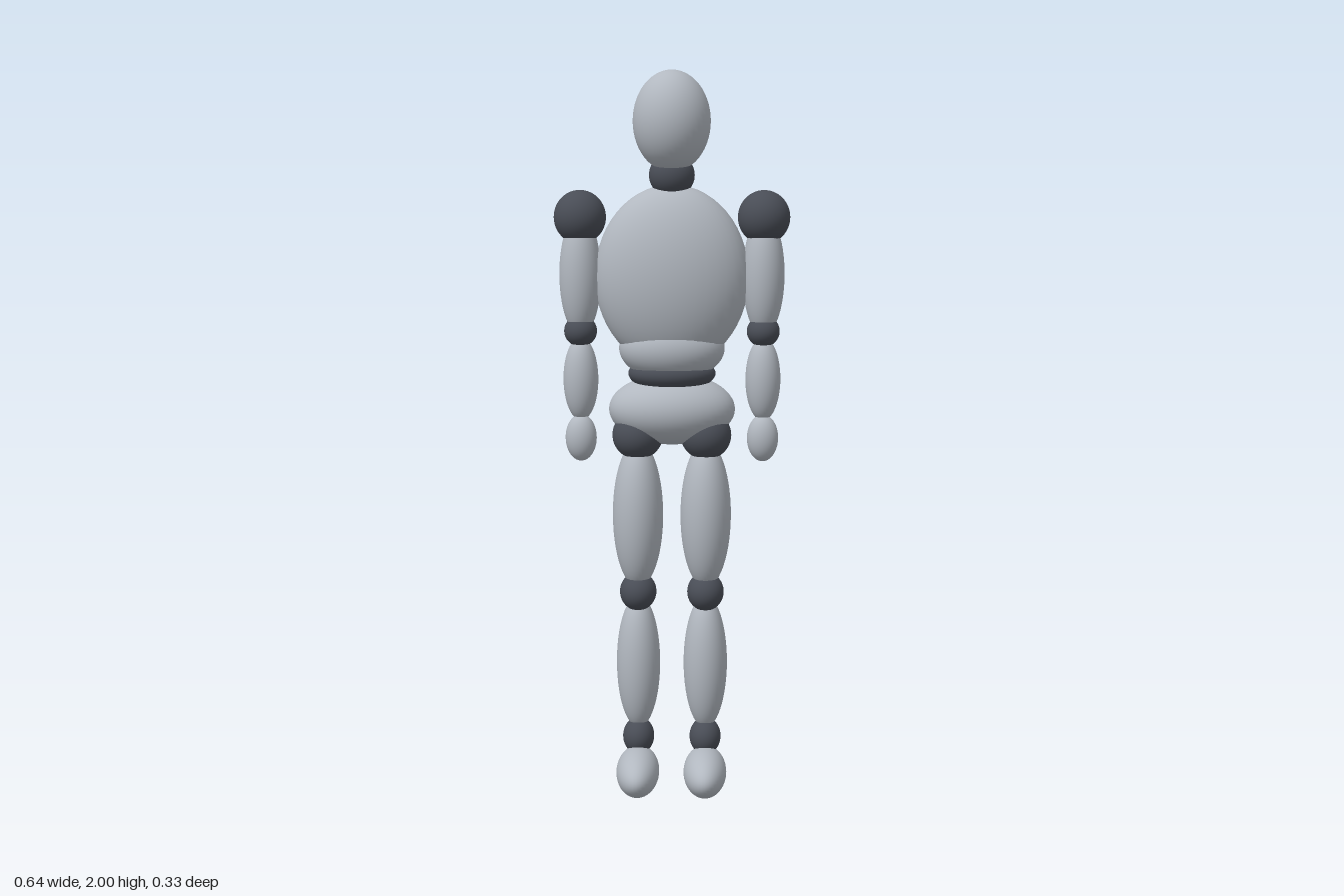
import * as THREE from 'three';

export function createModel() {
  const model = new THREE.Group();
  model.name = 'mannequin';

  const shell = new THREE.MeshStandardMaterial({ color: 0xb2b8c0 });
  shell.name = 'light grey shell';
  const joint = new THREE.MeshStandardMaterial({ color: 0x494d56 });
  joint.name = 'dark grey joint';

  const sphere = new THREE.SphereGeometry(1, 40, 28);

  // One ellipsoid body part: centre and radii
  function part(name, material, centre, radii, parent = model) {
    const mesh = new THREE.Mesh(sphere, material);
    mesh.name = name;
    mesh.position.set(...centre);
    mesh.scale.set(...radii);
    parent.add(mesh);
    return mesh;
  }

  // Head and torso
  part('head', shell, [0, 1.864, -0.016], [0.105, 0.136, 0.109]);
  part('neck', joint, [0, 1.72, -0.03], [0.062, 0.06, 0.062]);
  part('chest', shell, [0, 1.445, -0.032], [0.21, 0.25, 0.125]);
  part('abdomen', shell, [0, 1.25, -0.035], [0.145, 0.09, 0.105]);
  part('waist', joint, [0, 1.18, -0.038], [0.12, 0.05, 0.093]);
  part('pelvis', shell, [0, 1.08, -0.046], [0.174, 0.098, 0.121]);

  // Limbs: name, material, height, z, radii
  const arm = [
    ['shoulder', joint, 1.607, -0.033, [0.071, 0.073, 0.075]],
    ['upperArm', shell, 1.45, -0.032, [0.057, 0.165, 0.063]],
    ['elbow', joint, 1.297, -0.03, [0.045, 0.043, 0.052]],
    ['forearm', shell, 1.165, -0.029, [0.048, 0.115, 0.051]],
    ['hand', shell, 1.003, -0.023, [0.043, 0.065, 0.04]],
  ];
  const leg = [
    ['hip', joint, 1.01, -0.028, [0.07, 0.068, 0.077]],
    ['thigh', shell, 0.785, -0.031, [0.07, 0.207, 0.084]],
    ['knee', joint, 0.567, -0.029, [0.051, 0.054, 0.06]],
    ['shin', shell, 0.361, -0.039, [0.061, 0.191, 0.07]],
    ['ankle', joint, 0.147, -0.034, [0.044, 0.052, 0.055]],
    ['foot', shell, 0.064, 0.033, [0.06, 0.064, 0.132]],
  ];

  for (const [side, s] of [['left', 1], ['right', -1]]) {
    for (const [limb, rows, x] of [['Arm', arm, 0.25], ['Leg', leg, 0.094]]) {
      const group = new THREE.Group();
      group.name = side + limb;
      for (const [name, material, y, z, radii] of rows) {
        part(name, material, [s * x, y, z], radii, group);
      }
      model.add(group);
    }
  }

  return model;
}
